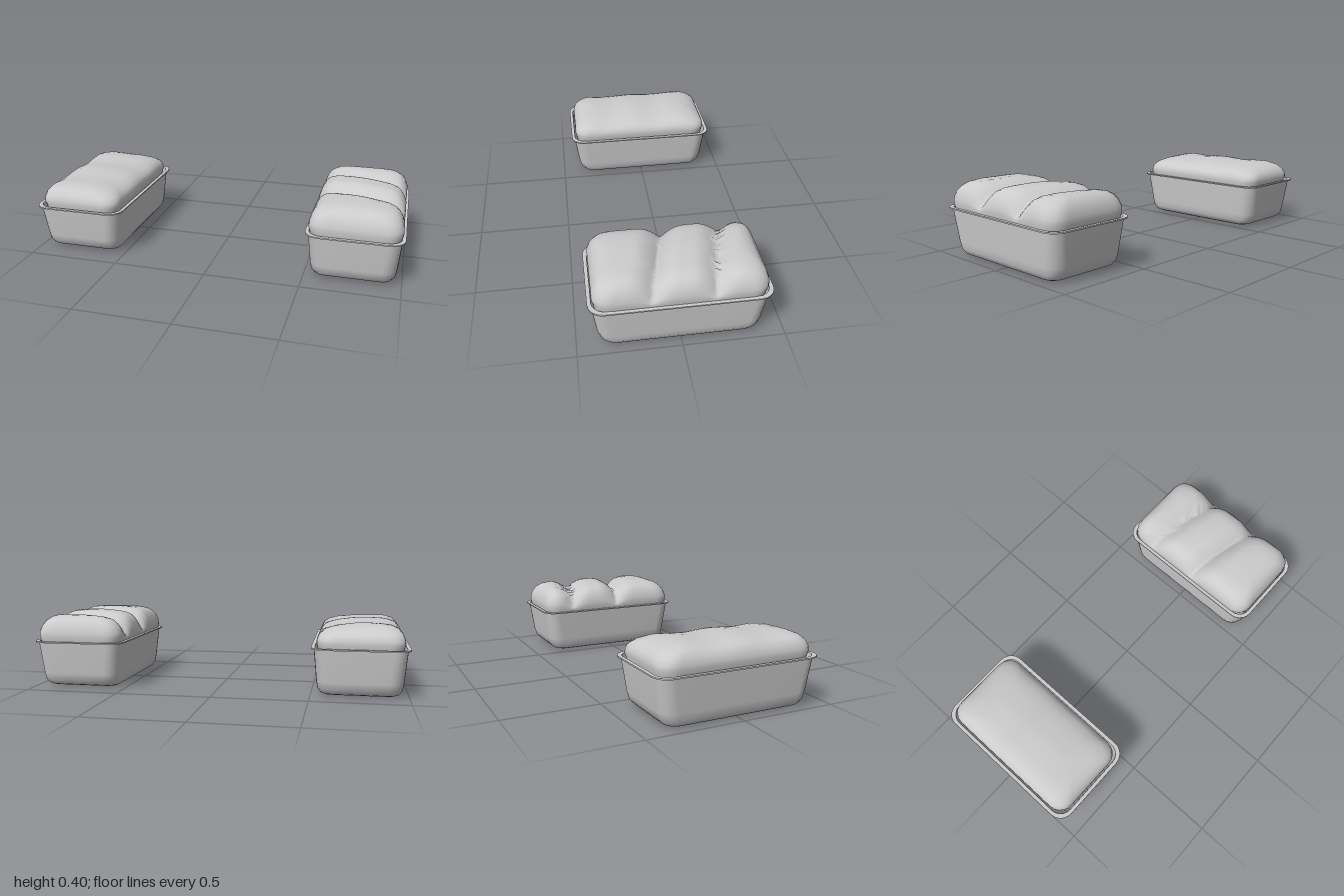
import * as THREE from 'three';
import { mergeVertices } from 'three/addons/utils/BufferGeometryUtils.js';

const material = new THREE.MeshStandardMaterial({ color: 0xcccccc, side: THREE.DoubleSide });

// Points of a rounded rectangle, with its straight sides subdivided
function ring([y, hx, hz, radius], longSteps, shortSteps) {
  const r = Math.max(0, Math.min(radius, hx, hz));
  const arcs = [[1, 1], [-1, 1], [-1, -1], [1, -1]].map(([sx, sz], c) => {
    const arc = [];
    for (let k = 0; k <= 5; k++) {
      const a = (c + k / 5) * Math.PI / 2;
      arc.push(new THREE.Vector3(sx * (hx - r) + r * Math.cos(a), y, sz * (hz - r) + r * Math.sin(a)));
    }
    return arc;
  });
  const points = [];
  arcs.forEach((arc, c) => {
    points.push(...arc);
    const next = arcs[(c + 1) % 4][0], steps = c % 2 ? longSteps : shortSteps;
    for (let k = 1; k < steps; k++) points.push(arc[5].clone().lerp(next, k / steps));
  });
  return points;
}

// Skin rows of [y, halfWidth, halfLength, cornerRadius]; a repeated row makes a sharp edge
function loft(rows, longSteps, shortSteps, deform) {
  const rings = rows.map((row) => ring(row, longSteps, shortSteps));
  const n = rings[0].length, positions = [], index = [];
  rings.flat().forEach((p) => {
    if (deform) deform(p);
    positions.push(p.x, p.y, p.z);
  });
  for (let j = 0; j < rows.length - 1; j++) {
    if (rows[j] === rows[j + 1]) continue;
    for (let i = 0; i < n; i++) {
      const a = j * n + i, b = j * n + (i + 1) % n, c = a + n, d = b + n;
      index.push(a, c, b, b, c, d);
    }
  }
  const geometry = new THREE.BufferGeometry();
  geometry.setAttribute('position', new THREE.Float32BufferAttribute(positions, 3));
  geometry.setIndex(index);
  return geometry;
}

function mesh(name, geometry) {
  geometry.computeVertexNormals();
  const m = new THREE.Mesh(geometry, material);
  m.name = name;
  return m;
}

// Tapered tin: outer wall, flat rim, inner wall and floor in one skin
function makePan() {
  const neck = [0.245, 0.236, 0.422, 0.07];
  const rimLow = [0.245, 0.25, 0.437, 0.075];
  const rimHigh = [0.252, 0.25, 0.437, 0.075];
  const mouth = [0.252, 0.231, 0.418, 0.067];
  const rows = [
    [0, 0, 0.15, 0], [0, 0.168, 0.322, 0.04], [0.004, 0.186, 0.345, 0.05],
    [0.012, 0.202, 0.366, 0.06], [0.036, 0.216, 0.389, 0.07], [0.075, 0.222, 0.4, 0.075],
    neck, neck, rimLow, rimLow, rimHigh, rimHigh, mouth, mouth,
    [0.08, 0.216, 0.394, 0.07], [0.03, 0.2, 0.37, 0.06], [0.008, 0.168, 0.322, 0.04], [0.008, 0, 0.15, 0],
  ];
  return mesh('pan', loft(rows, 4, 3));
}

// Loaf: rings step inward by [inset, height] until they close in a ridge
function makeLoaf(hx, hz, profile, deform) {
  const base = [[hx, 0.06], [0.05, 0.06], [0.022, 0.09], [0.012, 0.2], [0.005, 0.25]];
  const rows = [...base, ...profile, [hx, profile.at(-1)[1] + 0.001]]
    .map(([d, y]) => [y, hx - d, hz - d, 0.08]);
  return mesh('loaf', mergeVertices(loft(rows, 46, 14, deform), 1e-5));
}

// Three soft lobes parted by two slanted creases
function scored(p) {
  const top = THREE.MathUtils.smoothstep(p.y, 0.24, 0.36);
  let cut = 0;
  for (const z0 of [-0.205, 0.088]) {
    const d = Math.abs(p.z - z0 - 0.22 * p.x);
    cut += Math.max(0, 1 - d / 0.12) ** 2;
  }
  p.y -= 0.058 * cut * top;
  p.x *= 1 - 0.06 * cut * top;
}

// Gentle waves and a slight lean to one side
function plain(p) {
  const top = THREE.MathUtils.smoothstep(p.y, 0.28, 0.36);
  p.y += top * (0.004 * Math.cos(p.z * 21 - 0.8) - 0.045 * p.x - 0.003);
}

export function createModel() {
  const model = new THREE.Group();
  model.name = 'loavesInPans';

  const plainLoaf = makeLoaf(0.224, 0.411, [
    [0, 0.27], [0.002, 0.293], [0.013, 0.318], [0.035, 0.339], [0.07, 0.353],
    [0.11, 0.36], [0.15, 0.364], [0.19, 0.367]], plain);
  const scoredLoaf = makeLoaf(0.237, 0.416, [
    [0, 0.272], [0.001, 0.3], [0.012, 0.333], [0.029, 0.359], [0.052, 0.378],
    [0.085, 0.389], [0.12, 0.393], [0.16, 0.396], [0.2, 0.398]], scored);

  for (const [name, x, loaf] of [['plainBread', -0.75, plainLoaf], ['scoredBread', 0.75, scoredLoaf]]) {
    const bread = new THREE.Group();
    bread.name = name;
    bread.position.x = x;
    bread.add(makePan(), loaf);
    model.add(bread);
  }
  return model;
}
